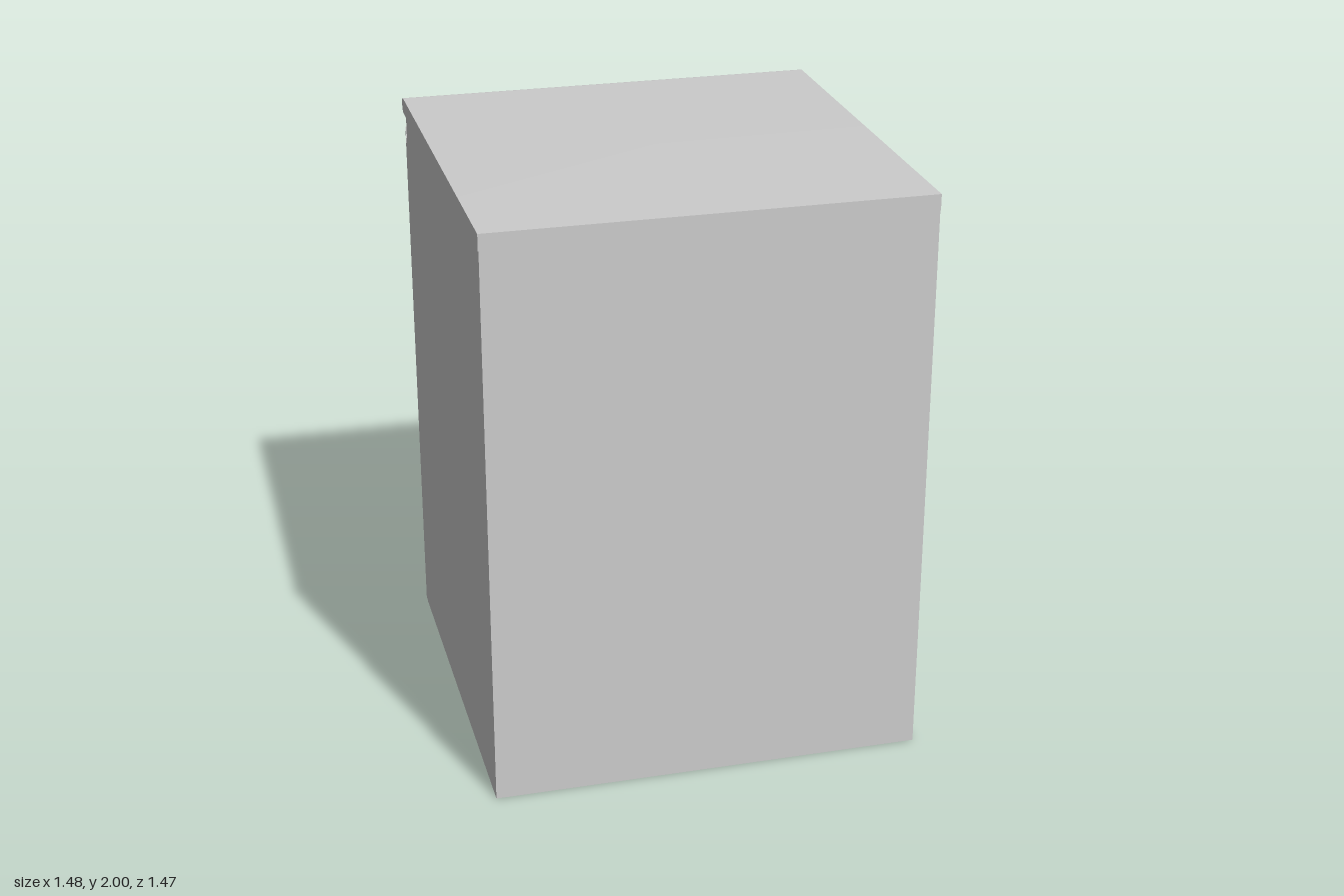
import * as THREE from 'three';
import { toCreasedNormals } from 'three/addons/utils/BufferGeometryUtils.js';

const material = new THREE.MeshStandardMaterial({ color: 0xcccccc });

// Extrudes a side profile drawn in (z, y) across the cabinet's width.
function sideProfile(name, shape, width) {
  let geometry = new THREE.ExtrudeGeometry(shape, { depth: width, bevelEnabled: false, curveSegments: 24 });
  geometry.translate(0, 0, -width / 2).rotateY(-Math.PI / 2);
  geometry = toCreasedNormals(geometry, Math.PI / 6);
  const mesh = new THREE.Mesh(geometry, material);
  mesh.name = name;
  return mesh;
}

export function createModel() {
  const group = new THREE.Group();
  group.name = 'baseCabinet';

  const front = 0.737, doorBack = -0.67, doorFace = -0.697;
  const topBottom = 1.945, height = 2;

  // Closed carcass
  const carcass = new THREE.Mesh(
    new THREE.BoxGeometry(1.472, topBottom, front - doorBack), material);
  carcass.position.set(0, topBottom / 2, (front + doorBack) / 2);
  carcass.name = 'carcass';
  group.add(carcass);

  // Door panel with a finger-pull groove along its top edge
  const door = new THREE.Shape([
    [doorBack, 0.004], [doorBack, 1.845], [-0.684, 1.845],
    [-0.694, 1.9], [doorFace, 1.9], [doorFace, 0.004],
  ].map(([z, y]) => new THREE.Vector2(z, y)));
  group.add(sideProfile('door', door, 1.472));

  // Worktop with a rounded nose overhanging the door
  const radius = (height - topBottom) / 2;
  const nose = -0.737 + radius;
  const top = new THREE.Shape();
  top.moveTo(nose, topBottom);
  top.lineTo(front, topBottom);
  top.lineTo(front, height);
  top.lineTo(nose, height);
  top.absarc(nose, height - radius, radius, Math.PI / 2, Math.PI * 1.5, false);
  group.add(sideProfile('worktop', top, 1.476));

  return group;
}
